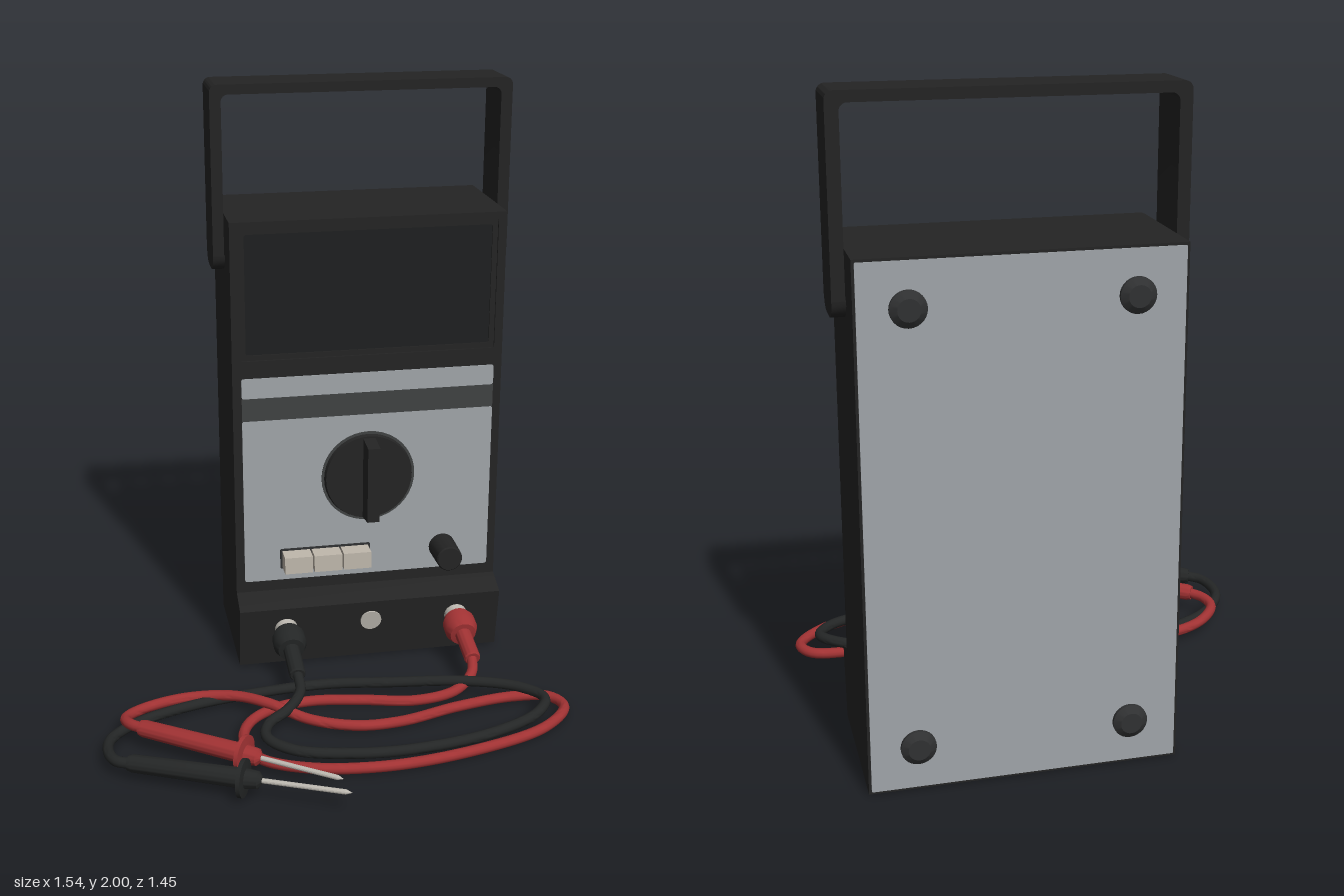
import * as THREE from 'three';
import { toCreasedNormals } from 'three/addons/utils/BufferGeometryUtils.js';

const mat = (name, color) => Object.assign(new THREE.MeshStandardMaterial({ color }), { name });
const V = (x, y, z) => new THREE.Vector3(x, y, z);

export function createModel() {
  const root = new THREE.Group();
  root.name = 'testMeter';
  const M = {
    body: mat('blackPlastic', 0x242424),
    dark: mat('darkPlastic', 0x1e1f20),
    stripe: mat('charcoalStripe', 0x404242),
    panel: mat('greyPanel', 0xa0a5a9),
    beige: mat('beigeButton', 0xc0b8ac),
    red: mat('redRubber', 0xa03233),
    black: mat('blackRubber', 0x242626),
    metal: mat('paleMetal', 0xbab6ae),
    foot: mat('footRubber', 0x303132),
  };
  const CX = 0.193; // centre line of the case

  const add = (name, geo, material) => {
    const mesh = new THREE.Mesh(toCreasedNormals(geo, 0.6), material);
    mesh.name = name;
    root.add(mesh);
    return mesh;
  };
  // Box given by its limits
  const box = (name, x0, x1, y0, y1, z0, z1, m) =>
    add(name, new THREE.BoxGeometry(x1 - x0, y1 - y0, z1 - z0)
      .translate((x0 + x1) / 2, (y0 + y1) / 2, (z0 + z1) / 2), m);
  // Side outline of [z, y] points extruded across x
  const sideShape = (name, pts, x0, x1, m) => {
    const shape = new THREE.Shape(pts.map(([z, y]) => new THREE.Vector2(-z, y)));
    const geo = new THREE.ExtrudeGeometry(shape, { depth: x1 - x0, bevelEnabled: false });
    return add(name, geo.rotateY(Math.PI / 2).translate(x0, 0, 0), m);
  };
  // Turned part: [radius, distance] profile running from a point along a direction
  const turned = (name, profile, from, dir, m, sides = 28) => {
    const geo = new THREE.LatheGeometry(profile.map(([r, h]) => new THREE.Vector2(r, h)), sides);
    const mesh = add(name, geo, m);
    mesh.position.copy(from);
    mesh.quaternion.setFromUnitVectors(V(0, 1, 0), dir.clone().normalize());
    return mesh;
  };
  const roundRect = (Type, x0, x1, y0, y1, r) => {
    const s = new Type();
    s.moveTo(x0 + r, y0);
    s.lineTo(x1 - r, y0); s.absarc(x1 - r, y0 + r, r, -Math.PI / 2, 0, false);
    s.lineTo(x1, y1 - r); s.absarc(x1 - r, y1 - r, r, 0, Math.PI / 2, false);
    s.lineTo(x0 + r, y1); s.absarc(x0 + r, y1 - r, r, Math.PI / 2, Math.PI, false);
    s.lineTo(x0, y0 + r); s.absarc(x0 + r, y0 + r, r, Math.PI, Math.PI * 1.5, false);
    return s;
  };
  const plate = (name, shape, z0, depth, m) =>
    add(name, new THREE.ExtrudeGeometry(shape, { depth, bevelEnabled: false }).translate(0, 0, z0), m);

  // Case with the sloping socket ledge at its foot
  sideShape('case', [[-0.7, 0.008], [-0.225, 0.008], [-0.19, 0.23], [-0.275, 0.265],
    [-0.29, 0.265], [-0.29, 1.58], [-0.7, 1.58]], -0.27, 0.656, M.body);
  // Front frame with the display window cut out
  const front = roundRect(THREE.Shape, -0.27, 0.656, 0.255, 1.58, 0.003);
  front.holes.push(roundRect(THREE.Path, -0.24, 0.628, 1.11, 1.555, 0.008));
  plate('frontFrame', front, -0.29, 0.015, M.body);
  const rim = roundRect(THREE.Shape, -0.24, 0.628, 1.11, 1.555, 0.008);
  rim.holes.push(roundRect(THREE.Path, -0.222, 0.61, 1.128, 1.537, 0.008));
  plate('displayRim', rim, -0.29, 0.008, M.body);
  plate('display', roundRect(THREE.Shape, -0.222, 0.61, 1.128, 1.537, 0.008), -0.29, 0.003, M.dark);

  // Control panel in three bands
  plate('panelLower', roundRect(THREE.Shape, -0.24, 0.628, 0.305, 0.9, 0.008), -0.275, 0.004, M.panel);
  plate('panelStripe', roundRect(THREE.Shape, -0.24, 0.628, 0.9, 0.98, 0.002), -0.275, 0.004, M.stripe);
  plate('panelUpper', roundRect(THREE.Shape, -0.24, 0.628, 0.98, 1.05, 0.008), -0.275, 0.004, M.panel);
  plate('backPanel', roundRect(THREE.Shape, -0.262, 0.648, 0.016, 1.572, 0.004), -0.704, 0.004, M.panel);

  // Carrying handle: an upside-down U with rounded arm ends
  const u = new THREE.Shape();
  u.moveTo(-0.309, 1.44);
  u.lineTo(-0.272, 1.44);
  u.lineTo(-0.272, 1.945);
  u.absarc(-0.249, 1.945, 0.023, Math.PI, Math.PI / 2, true);
  u.lineTo(0.635, 1.968);
  u.absarc(0.635, 1.945, 0.023, Math.PI / 2, 0, true);
  u.lineTo(0.658, 1.44);
  u.lineTo(0.696, 1.44);
  u.lineTo(0.696, 1.975);
  u.absarc(0.671, 1.975, 0.025, 0, Math.PI / 2, false);
  u.lineTo(-0.284, 2);
  u.absarc(-0.284, 1.975, 0.025, Math.PI / 2, Math.PI, false);
  plate('handle', u, -0.58, 0.18, M.body);
  const arc = (cz, from) => Array.from({ length: 7 }, (_, i) => {
    const a = from + (i / 6) * Math.PI / 2;
    return [cz + 0.055 * Math.cos(a), 1.44 + 0.055 * Math.sin(a)];
  });
  const armEnd = [...arc(-0.525, Math.PI), ...arc(-0.455, Math.PI * 1.5)];
  sideShape('handleEndRight', armEnd, -0.309, -0.268, M.body);
  sideShape('handleEndLeft', armEnd, 0.654, 0.696, M.body);

  // Range selector: thin disc with a tapered grip
  const Z = V(0, 0, 1);
  turned('selectorRing', [[0, 0], [0.163, 0], [0.163, 0.004], [0, 0.004]], V(CX, 0.675, -0.272), Z, M.stripe, 40);
  turned('selectorDisc', [[0, 0], [0.155, 0], [0.15, 0.016], [0, 0.018]], V(CX, 0.675, -0.27), Z, M.body, 40);
  sideShape('selectorGrip', [[-0.27, 0.525], [-0.175, 0.54], [-0.172, 0.81], [-0.27, 0.82]], CX - 0.021, CX + 0.021, M.body);

  // Push buttons
  plate('buttonFrame', roundRect(THREE.Shape, -0.116, 0.202, 0.348, 0.422, 0.005), -0.273, 0.006, M.foot);
  for (let i = 0; i < 3; i++) {
    const x = -0.109 + i * 0.103;
    box('button', x, x + 0.097, 0.355, 0.415, -0.27, -0.205, M.beige);
  }
  turned('adjustKnob', [[0, 0], [0.047, 0], [0.045, 0.114], [0.041, 0.119], [0, 0.119]], V(0.462, 0.386, -0.275), Z, M.body);

  // Spare socket, square to the ledge face
  const ledge = V(0, -0.15, 1);
  turned('spareSocket', [[0, 0], [0.037, 0], [0.037, 0.008], [0, 0.008]], V(CX, 0.155, -0.204), ledge, M.metal);

  // Feet on the back
  for (const x of [-0.122, 0.51]) for (const y of [0.147, 1.442]) {
    turned('foot', [[0, 0], [0.052, 0], [0.052, 0.012], [0.032, 0.026], [0, 0.026]], V(x, y, -0.702), V(0, 0, -1), M.foot);
  }

  // Test leads: socket collar, plug, cable, probe and tip
  const lead = (name, m, x, path, start, end) => {
    const socket = V(x, 0.15, -0.208);
    const dir = V(0, -0.22, 1).normalize();
    turned(name + 'Socket', [[0, 0], [0.04, 0], [0.04, 0.04], [0, 0.04]], socket, dir, M.metal);
    turned(name + 'Plug', [[0, 0.035], [0.048, 0.035], [0.048, 0.05], [0.057, 0.055], [0.057, 0.095], [0.045, 0.12],
      [0.028, 0.122], [0.028, 0.245], [0.024, 0.25], [0, 0.25]], socket, dir, m);
    const axis = end.clone().sub(start).normalize();
    const points = [socket.clone().addScaledVector(dir, 0.235), ...path.map(([px, pz, py = 0.022]) => V(px, py, pz)),
      start.clone().addScaledVector(axis, 0.02)];
    const curve = new THREE.CatmullRomCurve3(points, false, 'centripetal');
    add(name + 'Cable', new THREE.TubeGeometry(curve, 220, 0.0175, 12), m);
    turned(name + 'Probe', [[0, 0], [0.024, 0], [0.028, 0.015], [0.031, 0.362], [0.06, 0.365], [0.06, 0.378],
      [0.031, 0.381], [0.027, 0.42], [0.012, 0.432], [0, 0.432]], start, axis, m);
    const length = start.distanceTo(end);
    turned(name + 'Tip', [[0, 0.42], [0.008, 0.42], [0.008, length - 0.02], [0, length]], start, axis, M.metal, 12);
  };
  lead('redLead', M.red, 0.5, [[0.485, 0.08, 0.07], [0.42, 0.125, 0.035], [0.28, 0.145], [0.1, 0.11], [-0.07, 0.085],
    [-0.2, 0.11], [-0.29, 0.18], [-0.325, 0.28], [-0.29, 0.4], [-0.15, 0.48], [0.1, 0.515], [0.4, 0.475], [0.65, 0.385],
    [0.752, 0.27], [0.72, 0.2], [0.6, 0.18], [0.4, 0.21], [0.2, 0.265], [0.05, 0.27, 0.025], [-0.1, 0.22, 0.035],
    [-0.22, 0.13, 0.055], [-0.33, 0.05, 0.05], [-0.48, 0.018, 0.04], [-0.62, 0.065, 0.045], [-0.692, 0.145, 0.06],
    [-0.68, 0.2, 0.07]], V(-0.65, 0.075, 0.235), V(-0.07, 0.078, 0.645));
  lead('blackLead', M.black, -0.108, [[-0.11, 0.1, 0.075], [-0.16, 0.18, 0.06], [-0.24, 0.25, 0.05], [-0.255, 0.32, 0.045],
    [-0.18, 0.4, 0.04], [0, 0.445, 0.035], [0.2, 0.455, 0.035], [0.45, 0.42, 0.04], [0.63, 0.345, 0.05], [0.685, 0.26, 0.055],
    [0.62, 0.18, 0.058], [0.45, 0.11, 0.058], [0.2, 0.05, 0.045], [0, 0.006, 0.035], [-0.2, 0.008, 0.03],
    [-0.45, 0.05, 0.03], [-0.65, 0.135, 0.035], [-0.745, 0.24, 0.045], [-0.757, 0.32, 0.05], [-0.735, 0.385, 0.055]],
    V(-0.7, 0.06, 0.408), V(-0.058, 0.076, 0.718));

  return root;
}
